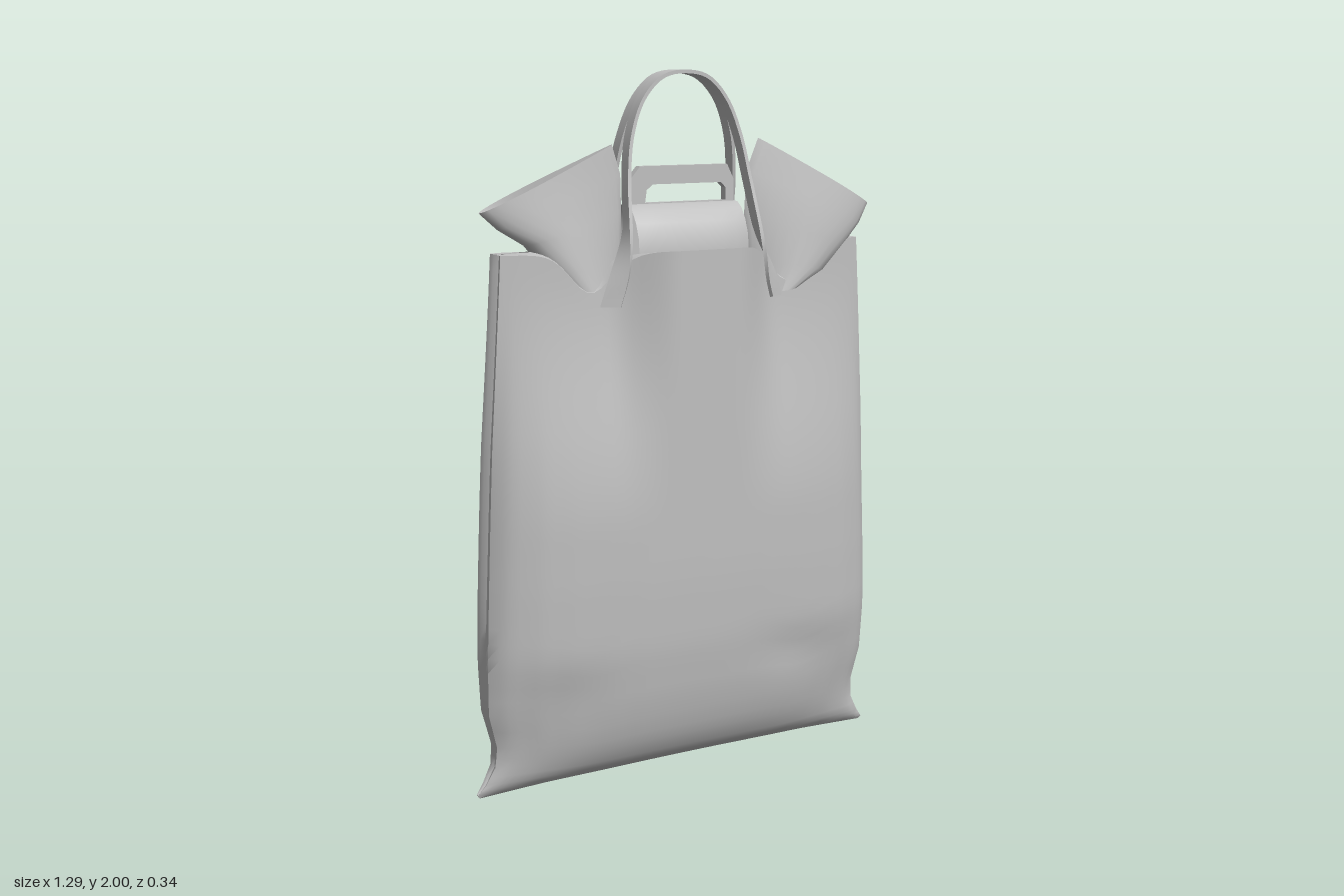
import * as THREE from 'three';
import { toCreasedNormals } from 'three/addons/utils/BufferGeometryUtils.js';

const { lerp, smoothstep } = THREE.MathUtils;
const bump = (x, centre, width) => Math.exp(-(((x - centre) / width) ** 2));

// Piecewise-linear lookup in a list of [key, value, ...] rows
function lookup(table, key, column = 1) {
  let i = 1;
  while (i < table.length - 1 && table[i][0] < key) i++;
  const a = table[i - 1], b = table[i];
  const t = THREE.MathUtils.clamp((key - a[0]) / (b[0] - a[0]), 0, 1);
  return lerp(a[column], b[column], t);
}

// Skin over rows of [x, y, z]; closed joins the last column to the first
function skin(rows, closed, crease = 0.7) {
  const n = rows[0].length, index = [];
  for (let r = 0; r < rows.length - 1; r++) {
    for (let c = 0; c < (closed ? n : n - 1); c++) {
      const a = r * n + c, b = r * n + (c + 1) % n;
      index.push(a, b, b + n, a, b + n, a + n);
    }
  }
  const g = new THREE.BufferGeometry();
  g.setAttribute('position', new THREE.Float32BufferAttribute(rows.flat(2), 3));
  g.setIndex(index);
  g.computeVertexNormals();
  return toCreasedNormals(g, crease);
}

// Height, half width, half depth, gusset fold depth
const BODY = [
  [0.01, 0.645, 0.028, 0.012], [0.04, 0.622, 0.066, 0.012], [0.09, 0.596, 0.094, 0.006], [0.15, 0.592, 0.117, 0],
  [0.25, 0.617, 0.14, 0], [0.4, 0.62, 0.16, 0.004], [0.6, 0.613, 0.167, 0.015],
  [1.0, 0.595, 0.168, 0.022], [1.52, 0.562, 0.166, 0.025],
];
// Depth across the panel, from centre to side edge
const LENS = [[0, 1], [0.32, 0.985], [0.45, 0.95], [0.66, 0.86], [0.8, 0.75], [0.92, 0.55], [0.97, 0.4], [1, 0.24]];

// Point on a panel: s runs across from -1 to 1, side is 1 for front and -1 for back
function bodyPoint(s, side, y) {
  const x = s * lookup(BODY, y), ax = Math.abs(x);
  let depth = lookup(BODY, y, 2) * lookup(LENS, Math.abs(s));
  // pillow corners thin out at the bottom, with soft creases above them
  depth *= 1 - 0.2 * smoothstep(ax, 0.25, 0.58) * (1 - smoothstep(y, 0.12, 0.46))
    - 0.06 * bump(x * side, 0.34, 0.16) * bump(y, 0.4 - 0.25 * x * side, 0.07)
    - 0.05 * bump(x * side, -0.42, 0.14) * bump(y, 0.27, 0.08);
  // both sides are pinched flat towards the top, the middle stays full
  const pinch = smoothstep(ax, 0.08, 0.28) * smoothstep(y, 0.75, 1.47);
  depth = lerp(depth, 0.064 * (1 - 0.45 * s ** 6), pinch);
  return [x, y, side * depth + 0.012 * pinch];
}

function bodyRing(v) {
  const N = 56, ring = [];
  for (const side of [1, -1]) {
    for (let i = 0; i <= N; i++) {
      const s = side * (2 * i / N - 1);
      const top = 1.52 - 0.11 * bump(Math.abs(s) * 0.565, 0.31, 0.085);
      ring.push(bodyPoint(s, side, lerp(0.01, top, v)));
    }
    // inward fold down the side
    const [x, y, z] = ring[ring.length - 1];
    const far = bodyPoint(Math.sign(x), -side, y)[2];
    const fold = lookup(BODY, y, 3);
    for (const t of [0.25, 0.5, 0.75]) {
      ring.push([x - Math.sign(x) * fold * (t === 0.5 ? 1 : 0.15), y, lerp(z, far, t)]);
    }
  }
  // the bottom seam arches slightly off the ground
  return ring.map(([x, y, z]) => [x, y + 0.013 * (1 - (x / 0.645) ** 2) * (1 - smoothstep(y, 0, 0.15)), z]);
}

function bodyGeometry() {
  const levels = [0, 0.01, 0.02, 0.035, 0.052, 0.07, 0.092, 0.125, 0.158];
  for (let i = 1; i <= 30; i++) levels.push(0.158 + 0.842 * i / 30);
  const rows = levels.map(bodyRing);
  rows.unshift(rows[0].map(([x, y]) => [x * 0.99, y - 0.01, 0]));
  // shoulders close towards the necks and leave the middle open
  const rim = rows[rows.length - 1];
  for (const t of [0.5, 1]) {
    rows.push(rim.map(([x, y, z]) => {
      const c = t * smoothstep(Math.abs(x), 0.14, 0.26);
      return [x, y + 0.03 * c * bump(Math.abs(x), 0.32, 0.12), lerp(z, 0.012 + z * 0.15, c)];
    }));
  }
  return skin(rows, true);
}

// Flared corner: each row is [innerX, innerY, innerZ, outerX, outerY, outerZ, half thickness]
function earGeometry(sections) {
  const N = 14;
  const rows = sections.map(([x0, y0, z0, x1, y1, z1, h]) => {
    const ring = [];
    for (let i = 0; i < N * 2; i++) {
      const a = Math.PI * i / N, t = 0.5 - 0.5 * Math.cos(a);
      // the mouth gapes towards its outer end
      ring.push([lerp(x0, x1, t), lerp(y0, y1, t), lerp(z0, z1, t) + h * (0.5 + t) * Math.sin(a)]);
    }
    return ring;
  });
  return skin(rows, true, 0.9);
}

// Arched strap; the section turns flat against the panel at its feet
function strapGeometry(side) {
  const half = [
    [-0.262, 1.37, 0.09], [-0.234, 1.46, 0.094], [-0.206, 1.56, 0.082], [-0.19, 1.7, 0.046],
    [-0.17, 1.82, 0.025], [-0.13, 1.92, 0.016], [-0.07, 1.98, 0.015], [0, 1.994, 0.015],
  ];
  const mirrored = half.slice(0, -1).reverse().map(([x, y, z]) => [-x, y, z]);
  const curve = new THREE.CatmullRomCurve3([...half, ...mirrored].map(([x, y, z]) => new THREE.Vector3(x, y, z * side)));
  const rows = [];
  for (let i = 0; i <= 60; i++) {
    const p = curve.getPoint(i / 60), tangent = curve.getTangent(i / 60);
    const turn = 1 - smoothstep(p.y, 1.4, 1.6);
    const wide = new THREE.Vector3(-Math.sin(turn) * Math.sign(p.x) * side, 0, Math.cos(turn));
    const thin = new THREE.Vector3().crossVectors(tangent, wide).normalize();
    wide.multiplyScalar(lerp(0.02, 0.028, turn));
    thin.multiplyScalar(0.005);
    rows.push([[1, 1], [-1, 1], [-1, -1], [1, -1]].map(([a, b]) =>
      p.clone().addScaledVector(wide, a).addScaledVector(thin, b).toArray()));
  }
  return skin(rows, true);
}

// Plate with a hand slot
function gripGeometry() {
  const shape = new THREE.Shape();
  [[-0.17, 1.45], [0.17, 1.45], [0.165, 1.7], [0.145, 1.74], [-0.13, 1.74], [-0.165, 1.7]]
    .forEach(([x, y], i) => (i ? shape.lineTo(x, y) : shape.moveTo(x, y)));
  shape.closePath();
  const slot = new THREE.Path();
  [[-0.115, 1.64], [-0.11, 1.675], [-0.09, 1.69], [0.125, 1.69], [0.14, 1.675], [0.14, 1.64]]
    .forEach(([x, y], i) => (i ? slot.lineTo(x, y) : slot.moveTo(x, y)));
  slot.closePath();
  shape.holes.push(slot);
  return new THREE.ExtrudeGeometry(shape, { depth: 0.024, bevelEnabled: false }).translate(0, 0, -0.012);
}

// Rounded inner flap that rises to the grip
function flapGeometry(side) {
  const profile = [[1.42, 0.1], [1.5, 0.104], [1.55, 0.098], [1.59, 0.08], [1.62, 0.055], [1.635, 0.03], [1.638, 0.01]];
  const rows = profile.map(([y, z]) => {
    const row = [];
    for (let i = 0; i <= 8; i++) {
      const t = i / 4 - 1;
      row.push([0.172 * t * side, y, side * z * (1 - 0.15 * t ** 4)]);
    }
    return row;
  });
  return skin(rows, false, 1);
}

export function createModel() {
  const model = new THREE.Group();
  model.name = 'carrierBag';
  const plastic = new THREE.MeshStandardMaterial({ color: 0xc0c0c0, side: THREE.DoubleSide });
  plastic.name = 'greyPlastic';
  const add = (name, geometry) => {
    const mesh = new THREE.Mesh(geometry, plastic);
    mesh.name = name;
    model.add(mesh);
  };

  add('bagBody', bodyGeometry());
  add('leftCorner', earGeometry([
    [0.22, 1.37, 0.015, 0.36, 1.39, 0.02, 0.062],
    [0.21, 1.48, 0.015, 0.45, 1.43, 0.03, 0.056],
    [0.2, 1.6, 0.014, 0.515, 1.5, 0.04, 0.046],
    [0.21, 1.72, 0.008, 0.57, 1.56, 0.042, 0.038],
    [0.25, 1.81, 0.004, 0.605, 1.615, 0.035, 0.032],
  ]));
  add('rightCorner', earGeometry([
    [-0.2, 1.38, 0.01, -0.35, 1.4, 0.01, 0.062],
    [-0.19, 1.5, 0.008, -0.41, 1.46, 0.01, 0.052],
    [-0.185, 1.62, 0.004, -0.48, 1.54, 0.012, 0.042],
    [-0.185, 1.72, 0.0, -0.555, 1.585, 0.012, 0.034],
    [-0.21, 1.8, 0.0, -0.605, 1.63, 0.01, 0.029],
  ]));
  add('grip', gripGeometry());
  for (const [name, side] of [['front', 1], ['back', -1]]) {
    add(name + 'Strap', strapGeometry(side));
    add(name + 'Flap', flapGeometry(side));
  }
  return model;
}
